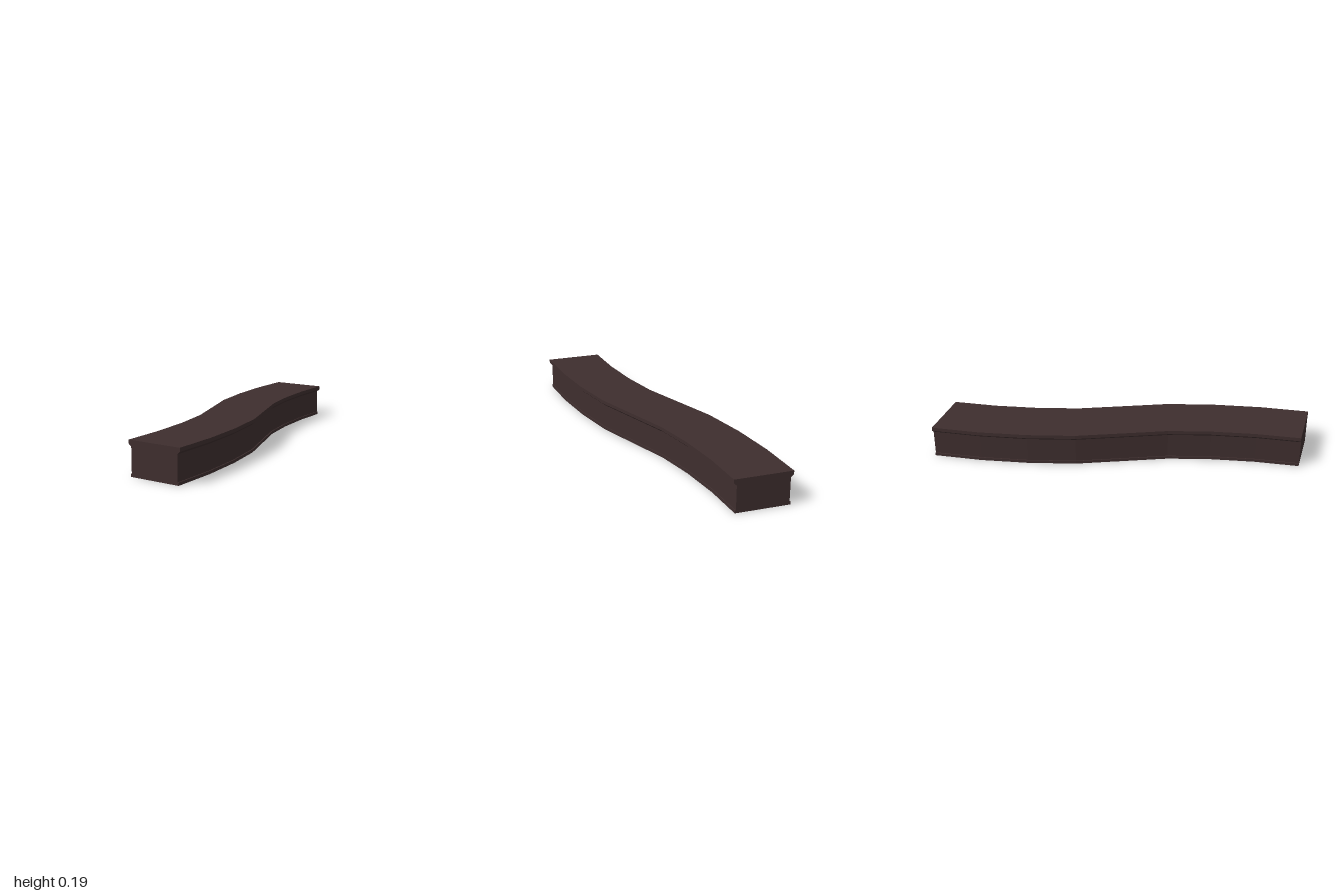
import * as THREE from 'three';

// Centre-line stations from the front end to the bend: [x, z, tilt in degrees]
const HALF = [
  [0.225, 1, 0],
  [0.203, 0.742, 4.8],
  [0.16, 0.485, 8],
  [0.097, 0.24, 14],
];
// S-curve: the back half is the front half turned by 180 degrees
const PATH = [...HALF.map(([x, z, t]) => [-x, -z, t]), ...HALF.slice().reverse()];

// Sweeps rows of [half width, height] along the path, open between stacked parts
function sweep(name, rows, material, { bottom = false, top = false } = {}) {
  const positions = [];
  const point = (station, row, side) => {
    const [x, z, tilt] = PATH[station];
    const [w, y] = rows[row];
    const a = THREE.MathUtils.degToRad(tilt);
    return [x + side * w * Math.cos(a), y, z - side * w * Math.sin(a)];
  };
  const quad = (a, b, c, d) => positions.push(...a, ...b, ...c, ...a, ...c, ...d);
  const end = PATH.length - 1;
  const last = rows.length - 1;

  for (let s = 0; s < end; s++) {
    // Long sides
    for (let r = 0; r < last; r++) {
      quad(point(s + 1, r, 1), point(s, r, 1), point(s, r + 1, 1), point(s + 1, r + 1, 1));
      quad(point(s, r, -1), point(s + 1, r, -1), point(s + 1, r + 1, -1), point(s, r + 1, -1));
    }
    // Walking surface and underside
    if (top) quad(point(s + 1, last, -1), point(s + 1, last, 1), point(s, last, 1), point(s, last, -1));
    if (bottom) quad(point(s, 0, -1), point(s, 0, 1), point(s + 1, 0, 1), point(s + 1, 0, -1));
  }
  // End faces
  for (let r = 0; r < last; r++) {
    if (rows[r][1] === rows[r + 1][1]) continue;
    quad(point(end, r, -1), point(end, r, 1), point(end, r + 1, 1), point(end, r + 1, -1));
    quad(point(0, r, 1), point(0, r, -1), point(0, r + 1, -1), point(0, r + 1, 1));
  }

  const geometry = new THREE.BufferGeometry();
  geometry.setAttribute('position', new THREE.Float32BufferAttribute(positions, 3));
  geometry.computeVertexNormals();
  const mesh = new THREE.Mesh(geometry, material);
  mesh.name = name;
  return mesh;
}

export function createModel() {
  const group = new THREE.Group();
  group.name = 'curvedWall';
  const darkBrown = new THREE.MeshStandardMaterial({ color: 0x3e2e2e });
  darkBrown.name = 'darkBrown';

  group.add(
    sweep('basePlinth', [[0.15, 0], [0.15, 0.016], [0.144, 0.016]], darkBrown, { bottom: true }),
    sweep('wallBody', [[0.144, 0.016], [0.144, 0.151]], darkBrown),
    sweep('topLedge', [[0.144, 0.151], [0.16, 0.165], [0.16, 0.185]], darkBrown, { top: true }),
  );
  return group;
}
